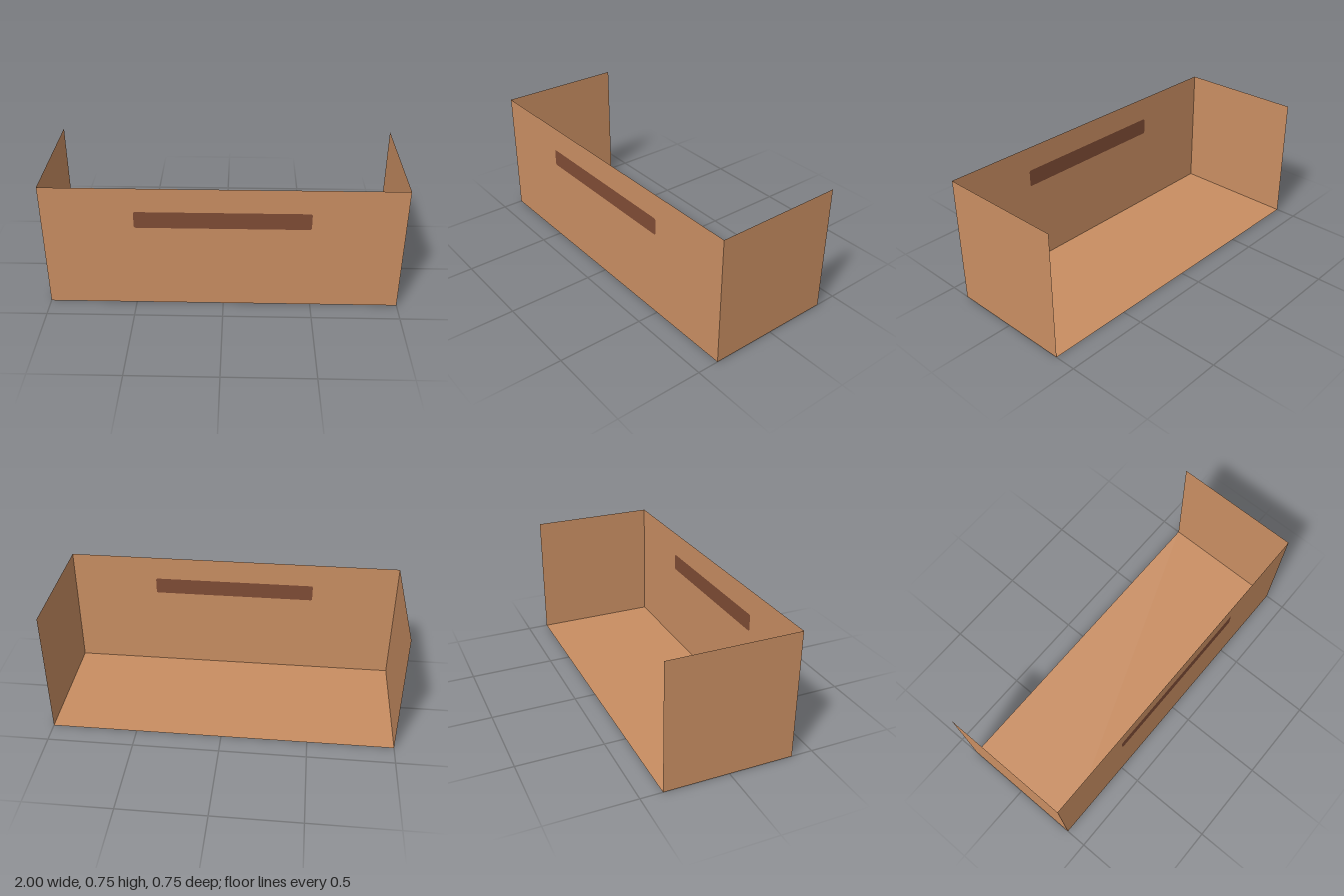
import * as THREE from 'three';

const W = 2, H = 0.75, D = 0.75;

// Adds a rounded rectangle outline to a shape or path
function roundedRect(path, x0, y0, x1, y1, r) {
  path.moveTo(x0 + r, y0);
  path.lineTo(x1 - r, y0);
  path.quadraticCurveTo(x1, y0, x1, y0 + r);
  path.lineTo(x1, y1 - r);
  path.quadraticCurveTo(x1, y1, x1 - r, y1);
  path.lineTo(x0 + r, y1);
  path.quadraticCurveTo(x0, y1, x0, y1 - r);
  path.lineTo(x0, y0 + r);
  path.quadraticCurveTo(x0, y0, x0 + r, y0);
  return path;
}

export function createModel() {
  const group = new THREE.Group();
  group.name = 'openTray';

  const board = new THREE.MeshStandardMaterial({ color: 0xc98e62, side: THREE.DoubleSide });
  board.name = 'tan board';
  const dark = new THREE.MeshStandardMaterial({ color: 0x7f4c35, side: THREE.DoubleSide });
  dark.name = 'dark brown';

  const add = (name, geometry, material) => {
    const mesh = new THREE.Mesh(geometry, material);
    mesh.name = name;
    group.add(mesh);
    return mesh;
  };

  // Front panel, cut out around the handle slot
  const slot = [-0.49, 0.505, 0.485, 0.605, 0.012];
  const panel = new THREE.Shape();
  panel.moveTo(-W / 2, 0).lineTo(W / 2, 0).lineTo(W / 2, H).lineTo(-W / 2, H).closePath();
  panel.holes.push(roundedRect(new THREE.Path(), ...slot));
  add('frontPanel', new THREE.ShapeGeometry(panel), board).position.z = D / 2;

  // Dark handle slot filling the cut-out, seen from both sides
  const slotShape = roundedRect(new THREE.Shape(), ...slot);
  add('handleSlot', new THREE.ShapeGeometry(slotShape), dark).position.z = D / 2;

  // Side panels
  for (const [name, side] of [['leftPanel', 1], ['rightPanel', -1]]) {
    const mesh = add(name, new THREE.PlaneGeometry(D, H), board);
    mesh.rotation.y = side * Math.PI / 2;
    mesh.position.set(side * W / 2, H / 2, 0);
  }

  // Floor; the top and the back stay open
  add('floor', new THREE.PlaneGeometry(W, D), board).rotation.x = -Math.PI / 2;

  return group;
}
